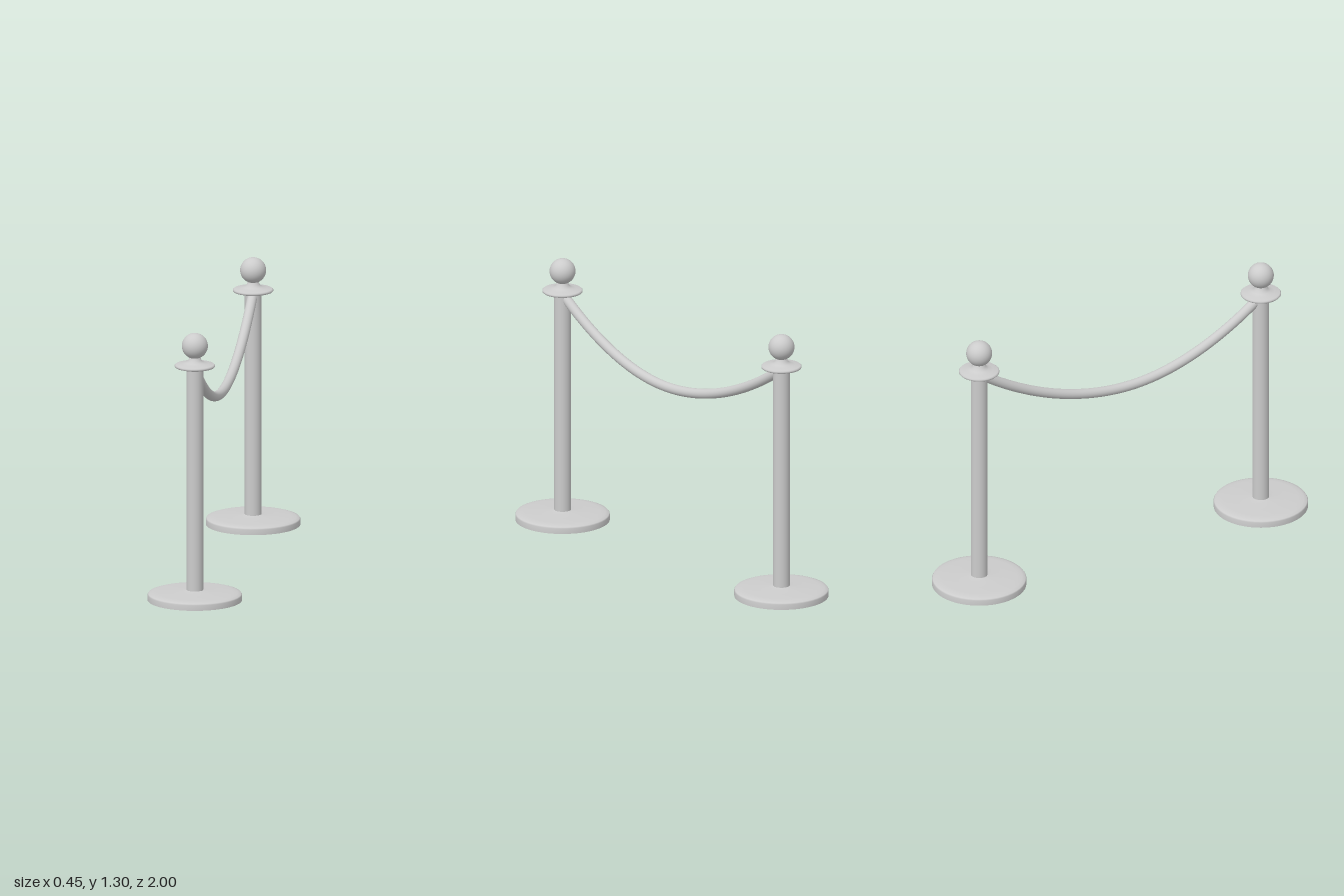
import * as THREE from 'three';

const POST_Z = 0.775;
const material = new THREE.MeshStandardMaterial({ color: 0xcccccc });
const thinMaterial = new THREE.MeshStandardMaterial({ color: 0xcccccc, side: THREE.DoubleSide });

function addMesh(parent, name, geometry, y = 0, mat = material) {
  const mesh = new THREE.Mesh(geometry, mat);
  mesh.name = name;
  mesh.position.y = y;
  parent.add(mesh);
}

function lathe(points) {
  return new THREE.LatheGeometry(points.map(([r, y]) => new THREE.Vector2(r, y)), 48);
}

function createStanchion(name, z) {
  const post = new THREE.Group();
  post.name = name;
  post.position.z = z;

  // Hollow weighted foot, open underneath
  addMesh(post, 'base', lathe([
    [0.225, 0], [0.225, 0.026], [0.221, 0.032], [0.205, 0.037], [0.18, 0.04],
    [0.12, 0.043], [0.06, 0.046], [0.038, 0.05],
  ]), 0, thinMaterial);

  // Upright from foot to collar
  addMesh(post, 'pole', new THREE.CylinderGeometry(0.04, 0.04, 1.1, 40), 0.59);

  // Flared collar rising to a narrow neck
  addMesh(post, 'collar', lathe([
    [0, 1.128], [0.05, 1.129], [0.075, 1.133], [0.092, 1.138], [0.096, 1.142],
    [0.096, 1.148], [0.091, 1.152], [0.065, 1.156], [0.045, 1.162],
    [0.031, 1.172], [0.025, 1.19],
  ]));

  // Ball finial
  addMesh(post, 'finial', new THREE.SphereGeometry(0.062, 40, 28), 1.242);
  return post;
}

export function createModel() {
  const model = new THREE.Group();
  model.name = 'ropeBarrier';
  model.add(createStanchion('frontStanchion', POST_Z), createStanchion('backStanchion', -POST_Z));

  // Sagging rope, lowest slightly in front of the middle
  const lowZ = 0.03, lowY = 0.843, endY = 1.115, path = [];
  for (let i = 0; i <= 16; i++) {
    const z = POST_Z - 0.02 - (i / 16) * 2 * (POST_Z - 0.02);
    const span = z > lowZ ? POST_Z - 0.02 - lowZ : POST_Z - 0.02 + lowZ;
    const t = Math.abs(z - lowZ) / span;
    path.push(new THREE.Vector3(0, lowY + (endY - lowY) * Math.pow(t, 1.95), z));
  }
  addMesh(model, 'rope', new THREE.TubeGeometry(new THREE.CatmullRomCurve3(path), 64, 0.024, 20), 0, thinMaterial);
  return model;
}
